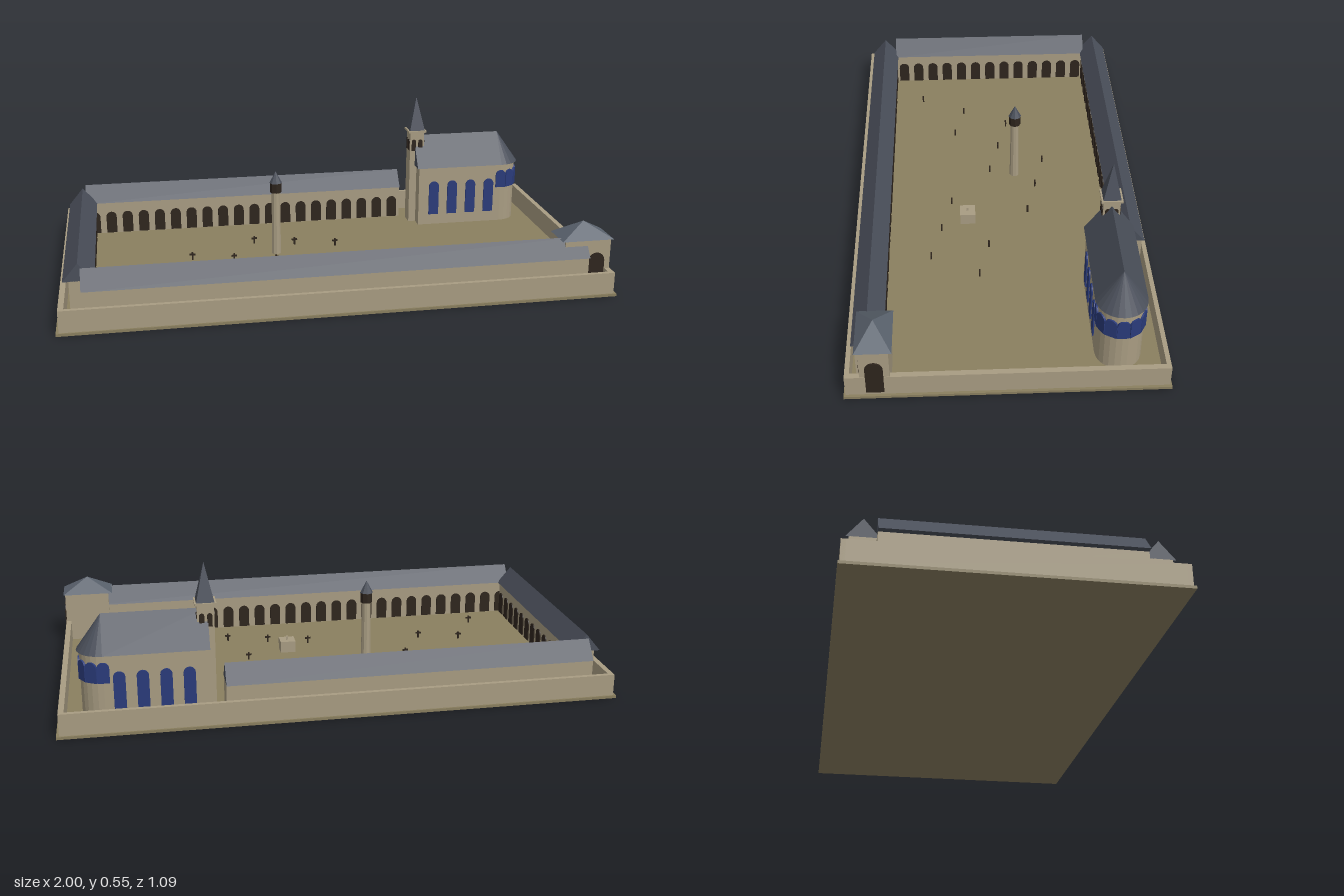
import * as THREE from 'three';

const mat = (color, flatShading = true) => new THREE.MeshStandardMaterial({ color, flatShading });
const STONE = mat(0xa89c82), ROOF = mat(0x4a4f5a), LAWN = mat(0x8a7f5f);
const DARK = mat(0x2e251d), GLASS = mat(0x2a3b7a), GATE_ROOF = mat(0x5a626d);

export function createModel() {
  const root = new THREE.Group();

  const add = (parent, name, geo, material, x = 0, y = 0, z = 0) => {
    const m = new THREE.Mesh(geo, material);
    m.name = name;
    m.position.set(x, y, z);
    parent.add(m);
    return m;
  };
  const group = (name) => {
    const g = new THREE.Group();
    g.name = name;
    root.add(g);
    return g;
  };
  // Box given by its ranges
  const block = (parent, name, material, x0, x1, y0, y1, z0, z1) =>
    add(parent, name, new THREE.BoxGeometry(x1 - x0, y1 - y0, z1 - z0), material,
      (x0 + x1) / 2, (y0 + y1) / 2, (z0 + z1) / 2);
  // Gabled roof with its ridge along z, turned to x when alongX is set
  const gable = (parent, name, length, width, height, alongX, x, y, z) => {
    const s = new THREE.Shape();
    s.moveTo(-width / 2, 0);
    s.lineTo(width / 2, 0);
    s.lineTo(0, height);
    const geo = new THREE.ExtrudeGeometry(s, { depth: length, bevelEnabled: false });
    geo.translate(0, 0, -length / 2);
    if (alongX) geo.rotateY(Math.PI / 2);
    return add(parent, name, geo, ROOF, x, y, z);
  };
  // Round-headed panel standing on y, facing +z before turning
  const arch = (parent, name, material, w, h, x, y, z, turn = 0) => {
    const s = new THREE.Shape();
    s.moveTo(-w / 2, 0);
    s.lineTo(w / 2, 0);
    s.lineTo(w / 2, h - w / 2);
    s.absarc(0, h - w / 2, w / 2, 0, Math.PI);
    s.closePath();
    const geo = new THREE.ExtrudeGeometry(s, { depth: 0.008, bevelEnabled: false, curveSegments: 6 });
    geo.translate(0, 0, -0.004);
    const m = add(parent, name, geo, material, x, y, z);
    m.rotation.y = turn;
    return m;
  };
  // Four-sided pyramid, w by d at the base
  const pyramid = (parent, name, material, w, d, h, x, y, z) => {
    const geo = new THREE.ConeGeometry(Math.SQRT1_2, h, 4);
    geo.rotateY(Math.PI / 4);
    geo.scale(w, 1, d);
    return add(parent, name, geo, material, x, y + h / 2, z);
  };

  // Ground and enclosing wall
  block(root, 'ground', LAWN, -1, 1, 0, 0.01, -0.547, 0.547);
  const wall = group('enclosingWall');
  for (const s of [-1, 1]) {
    add(wall, 'longWall', new THREE.BoxGeometry(1.98, 0.08, 0.016), STONE, 0, 0.05, s * 0.533);
    add(wall, 'endWall', new THREE.BoxGeometry(0.02, 0.08, 1.082), STONE, s * 0.98, 0.05, 0);
  }

  // Galleries with arcades facing the court
  const galleries = [
    { name: 'backGallery', alongX: true, from: -0.91, to: 0.42, at: -0.472, face: 1, arches: 20, last: 0.42 },
    { name: 'frontGallery', alongX: true, from: -0.91, to: 0.9, at: 0.466, face: -1, arches: 26, last: 0.82 },
    { name: 'sideGallery', alongX: false, from: -0.43, to: 0.42, at: -0.92, face: 1, arches: 13, last: 0.42 },
  ];
  for (const { name, alongX, from, to, at, face, arches, last } of galleries) {
    const g = group(name), half = 0.044, mid = (from + to) / 2;
    if (alongX) block(g, 'galleryWall', STONE, from, to, 0.01, 0.145, at - half, at + half);
    else block(g, 'galleryWall', STONE, at - 0.033, at + half, 0.01, 0.145, from, to);
    gable(g, 'galleryRoof', to - from, 0.11, 0.066, alongX, alongX ? mid : at, 0.144, alongX ? at : mid);
    for (let i = 0; i < arches; i++) {
      const p = from + ((last - from) * (i + 0.5)) / arches, f = at + face * half;
      if (alongX) arch(g, 'arcadeArch', DARK, 0.042, 0.09, p, 0.012, f);
      else arch(g, 'arcadeArch', DARK, 0.042, 0.09, f, 0.012, p, Math.PI / 2);
    }
  }

  // Gatehouse
  const gate = group('gatehouse');
  block(gate, 'gateBody', STONE, 0.815, 0.988, 0.01, 0.206, 0.39, 0.49);
  pyramid(gate, 'gateRoof', GATE_ROOF, 0.195, 0.124, 0.057, 0.897, 0.205, 0.44);
  arch(gate, 'outerGateway', DARK, 0.06, 0.135, 0.99, 0.022, 0.441, Math.PI / 2);
  arch(gate, 'frontGateway', DARK, 0.06, 0.135, 0.936, 0.018, 0.49);

  // Church nave with tall windows
  const church = group('church'), cz = -0.382, apseX = 0.833;
  block(church, 'nave', STONE, 0.475, apseX, 0.01, 0.262, cz - 0.08, cz + 0.08);
  gable(church, 'naveRoof', apseX - 0.467, 0.178, 0.125, true, (apseX + 0.467) / 2, 0.26, cz);
  for (const s of [-1, 1])
    for (let i = 0; i < 4; i++)
      arch(church, 'naveWindow', GLASS, 0.042, 0.145, 0.54 + i * 0.08, 0.055, cz + s * 0.081);

  // Rounded apse with a ring of windows
  add(church, 'apse', new THREE.CylinderGeometry(0.08, 0.08, 0.252, 24), STONE, apseX, 0.136, cz);
  add(church, 'apseRoof', new THREE.ConeGeometry(0.089, 0.125, 24), ROOF, apseX, 0.3225, cz);
  for (let i = 0; i < 7; i++) {
    const a = (i * Math.PI) / 6;
    arch(church, 'apseWindow', GLASS, 0.043, 0.075,
      apseX + Math.sin(a) * 0.081, 0.16, cz + Math.cos(a) * 0.081, a);
  }

  // Bell tower
  const tower = group('bellTower'), tx = 0.475;
  add(tower, 'towerShaft', new THREE.BoxGeometry(0.06, 0.395, 0.06), STONE, tx, 0.2075, cz);
  add(tower, 'towerCornice', new THREE.BoxGeometry(0.076, 0.008, 0.076), STONE, tx, 0.407, cz);
  pyramid(tower, 'spire', ROOF, 0.064, 0.064, 0.14, tx, 0.41, cz);
  for (let k = 0; k < 4; k++)
    for (const o of [-0.014, 0.014]) {
      const a = (k * Math.PI) / 2, c = Math.cos(a), s = Math.sin(a);
      arch(tower, 'belfryOpening', DARK, 0.018, 0.048,
        tx + s * 0.029 + c * o, 0.325, cz + c * 0.029 - s * o, a);
    }

  // Slender lantern column in the court
  const lantern = group('lanternColumn');
  add(lantern, 'columnShaft', new THREE.CylinderGeometry(0.016, 0.019, 0.255, 10), STONE, -0.165, 0.1375, -0.08);
  add(lantern, 'lanternRoom', new THREE.CylinderGeometry(0.023, 0.023, 0.04, 8), DARK, -0.165, 0.284, -0.08);
  add(lantern, 'lanternRoof', new THREE.ConeGeometry(0.025, 0.047, 8), ROOF, -0.165, 0.326, -0.08);

  // Square stone block with a small finial
  const well = group('stoneBlock');
  block(well, 'blockBody', STONE, 0.085, 0.145, 0.01, 0.055, 0.088, 0.147);
  add(well, 'blockFinial', new THREE.BoxGeometry(0.008, 0.014, 0.008), STONE, 0.115, 0.062, 0.1175);

  // Grave crosses
  const graves = group('graveCrosses');
  const spots = [[-0.24, -0.2], [-0.08, -0.16], [0.08, -0.12], [-0.5, -0.06], [-0.34, -0.02],
    [-0.18, 0.02], [0.28, 0.04], [0.44, 0.08], [-0.6, 0.12], [-0.44, 0.16], [0.02, 0.18],
    [0.18, 0.22], [0.34, 0.26], [-0.7, 0.3]];
  for (const [x, z] of spots) {
    add(graves, 'crossPost', new THREE.BoxGeometry(0.006, 0.03, 0.006), DARK, x, 0.025, z);
    add(graves, 'crossArm', new THREE.BoxGeometry(0.022, 0.006, 0.006), DARK, x, 0.031, z);
  }
  return root;
}
